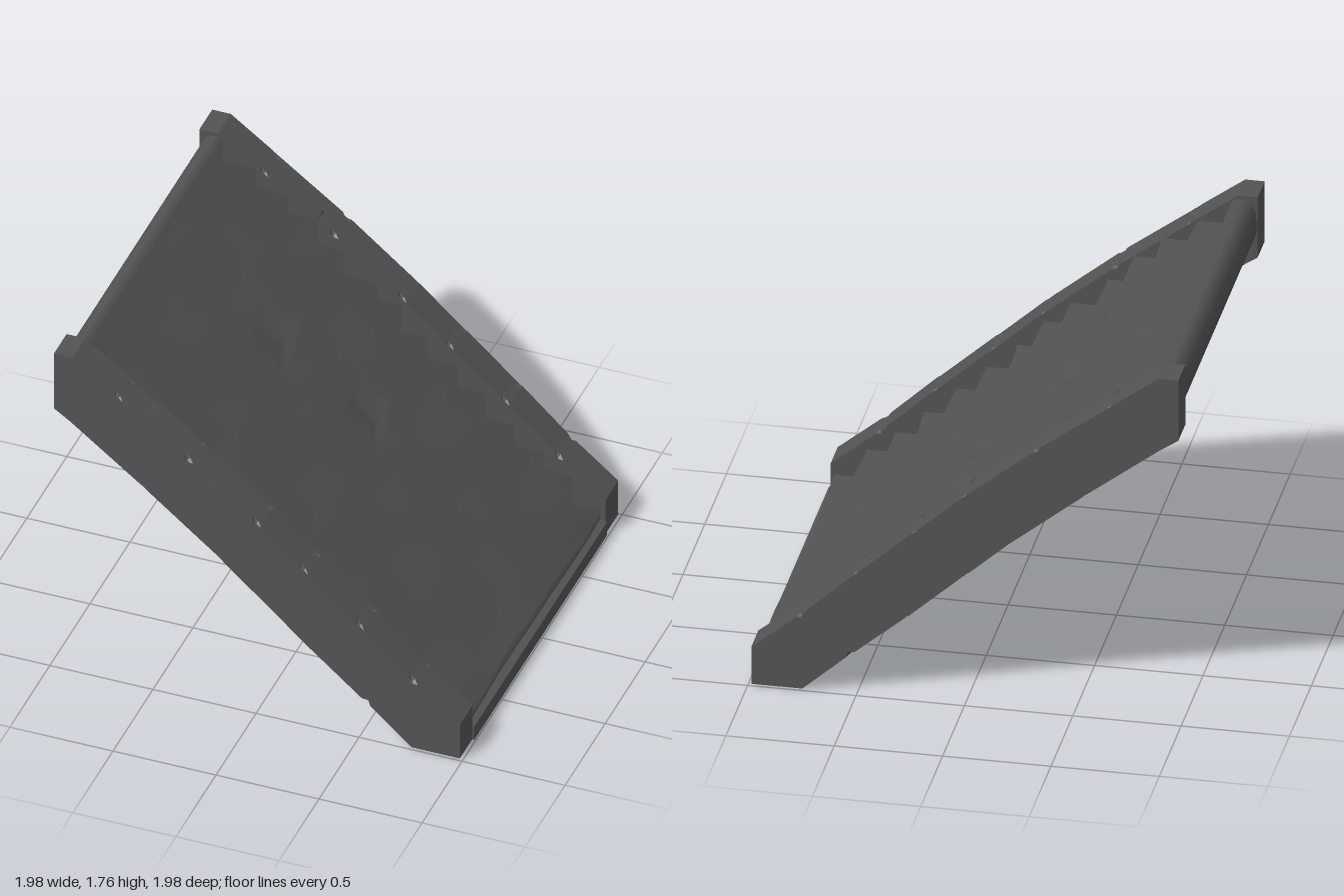
import * as THREE from 'three';
import { toCreasedNormals } from 'three/addons/utils/BufferGeometryUtils.js';

const stone = new THREE.MeshStandardMaterial({ color: 0x535353 });
stone.name = 'dark grey';

// Joints along the gently bowed edges of the side rails
const railTop = [[0.76, 0.38], [0.5, 0.62], [0.23, 0.86], [0, 1.065], [-0.33, 1.335], [-0.67, 1.59]];
const railBottom = [[-0.56, 1.13], [-0.22, 0.855], [0, 0.66], [0.28, 0.41], [0.53, 0.2]];

// Front edge of each stair tread, low to high
const nosings = [[0.96, 0.14], [0.83, 0.28], [0.68, 0.385], [0.55, 0.505], [0.41, 0.635], [0.26, 0.765],
  [0.13, 0.89], [0, 1.02], [-0.13, 1.13], [-0.28, 1.265], [-0.42, 1.395], [-0.55, 1.505],
  [-0.7, 1.61], [-0.87, 1.735]];

// Extrudes a side profile from z0 to z1
function extrudeProfile(points, z0, z1, steps) {
  const shape = new THREE.Shape(points.map(([x, y]) => new THREE.Vector2(x, y)));
  const geometry = new THREE.ExtrudeGeometry(shape, { depth: z1 - z0, steps, bevelEnabled: false });
  return geometry.translate(0, 0, z0);
}

function makeMesh(name, geometry) {
  const mesh = new THREE.Mesh(geometry, stone);
  mesh.name = name;
  return mesh;
}

// Three points around a joint, so that its middle can be chipped
function joint([x, y]) {
  return [[x + 0.02, y - 0.016], [x, y], [x - 0.02, y + 0.016]];
}

function makeRail(name, z0, z1) {
  const points = [
    [0.75, 0.005], [0.985, 0.005], [0.985, 0.195],
    ...railTop.flatMap(joint),
    [-0.895, 1.757], [-0.985, 1.757], [-0.985, 1.45], [-0.9, 1.392],
    ...railBottom.flatMap((p) => joint(p).reverse()),
  ];
  const geometry = extrudeProfile(points, z0, z1, 8);

  // Chip the outer corners at every joint
  const pos = geometry.attributes.position;
  const chip = (joints, side) => joints.forEach(([jx, jy]) => {
    for (let i = 0; i < pos.count; i++) {
      const z = pos.getZ(i);
      const atFace = Math.min(Math.abs(z - z0), Math.abs(z - z1)) < 0.005;
      if (atFace && Math.hypot(pos.getX(i) - jx, pos.getY(i) - jy) < 0.002) {
        pos.setXY(i, jx - 0.012 * side, jy - 0.014 * side);
      }
    }
  });
  chip(railTop, 1);
  chip(railBottom, -1);
  geometry.computeVertexNormals();
  return makeMesh(name, geometry);
}

function makeStairs() {
  // Treads and risers, rounded high end, then the recessed underside
  const points = [[0.96, 0.05]];
  nosings.forEach(([x, y], i) => {
    if (i > 0) points.push([x, nosings[i - 1][1]]);
    points.push([x, y]);
  });
  points.push([-0.92, 1.738], [-0.955, 1.72], [-0.975, 1.68], [-0.982, 1.62], [-0.978, 1.57],
    [-0.955, 1.54], [-0.9, 1.49], [-0.56, 1.23], [-0.22, 0.955], [0, 0.76], [0.28, 0.51], [0.53, 0.3],
    [0.8, 0.05]);
  const geometry = extrudeProfile(points, -0.9, 0.9, 26);

  // Uneven wear along the treads, with two chipped edges
  const pos = geometry.attributes.position;
  const wave = (z, phase) => 0.009 * Math.sin(z * 4.1 + phase) + 0.004 * Math.sin(z * 9.7 + phase * 2);
  const bump = (x, z, cx, cz) => Math.exp(-(((x - cx) / 0.05) ** 2) - ((z - cz) / 0.07) ** 2);
  for (let i = 0; i < pos.count; i++) {
    const x = pos.getX(i), y = pos.getY(i), z = pos.getZ(i);
    if (y < 0.83 - 0.86 * x || y < 0.12 || x < -0.86) continue;
    const isNosing = y > 0.95 - 0.87 * x;
    const chip = isNosing ? 0.03 * (bump(x, z, -0.28, -0.1) + bump(x, z, 0.13, -0.2)) : 0;
    pos.setX(i, x + wave(z, x * 17) - chip);
    pos.setY(i, y + 0.6 * wave(z, y * 17) - chip);
  }
  return makeMesh('stairs', toCreasedNormals(geometry, 1.75));
}

function makeSill() {
  const points = [[0.75, 0], [0.993, 0], [0.993, 0.075], [0.955, 0.085], [0.74, 0.085]];
  return makeMesh('bottomSill', extrudeProfile(points, -0.83, 0.83, 1));
}

export function createModel() {
  const group = new THREE.Group();
  group.name = 'staircase';
  group.add(makeStairs());
  group.add(makeSill());
  group.add(makeRail('frontRail', 0.83, 0.99));
  group.add(makeRail('backRail', -0.99, -0.83));
  return group;
}
